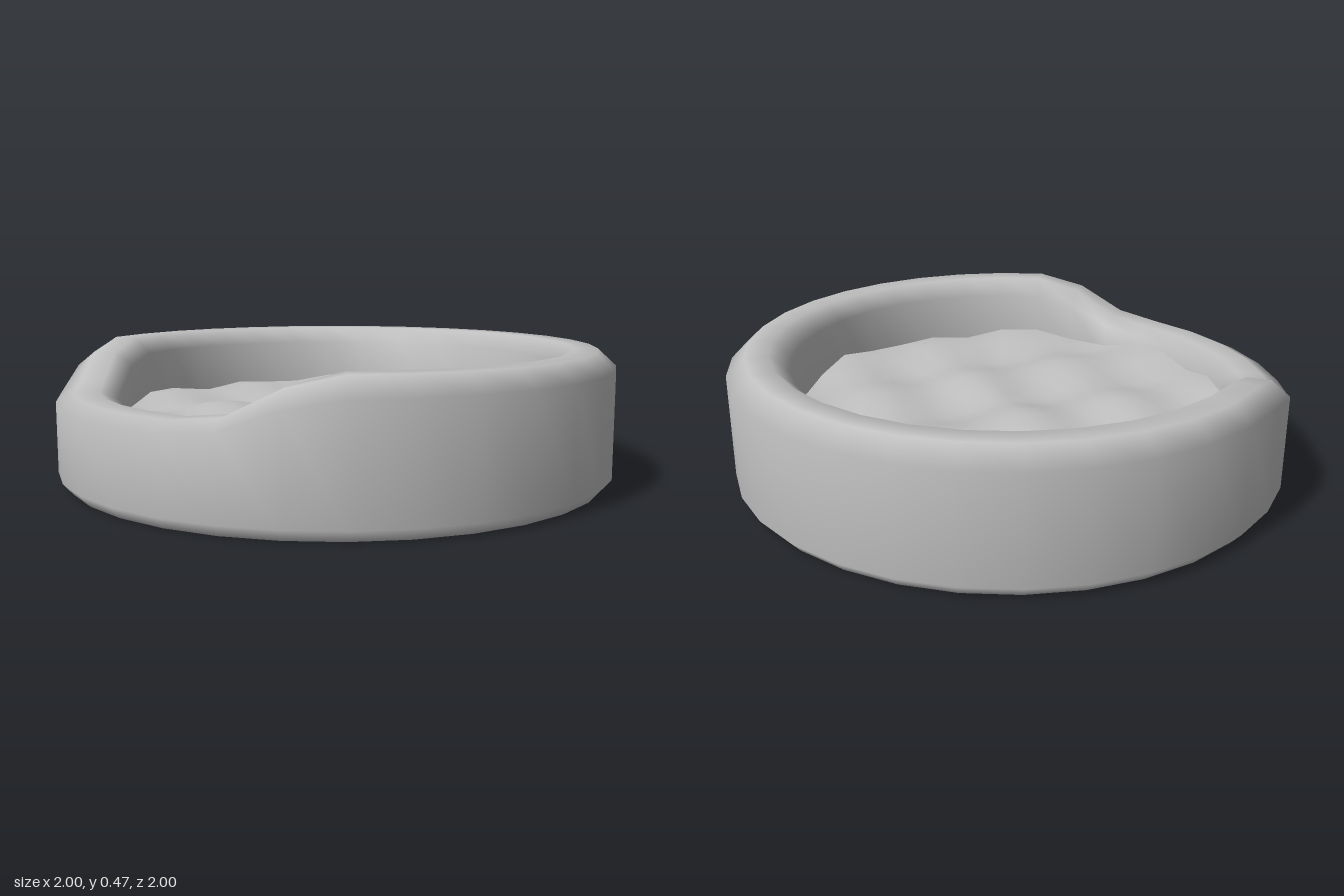
import * as THREE from 'three';
import { mergeVertices } from 'three/addons/utils/BufferGeometryUtils.js';

const SIDES = 32;

// Move every vertex by a rule, then weld seams and smooth the normals
function shape(geometry, rule) {
  geometry.deleteAttribute('uv');
  geometry.deleteAttribute('normal');
  const p = geometry.attributes.position;
  for (let i = 0; i < p.count; i++) {
    p.setY(i, rule(p.getX(i), p.getY(i), p.getZ(i)));
  }
  const welded = mergeVertices(geometry, 1e-4);
  welded.computeVertexNormals();
  return welded;
}

// 0 in the low entrance on the -x side, 1 around the rest of the rim
function rimLift(x, z) {
  const angle = THREE.MathUtils.radToDeg(Math.atan2(Math.abs(z), -x));
  return THREE.MathUtils.smoothstep(angle, 28, 54);
}

export function createModel() {
  const model = new THREE.Group();
  model.name = 'roundPetBed';
  const fabric = new THREE.MeshStandardMaterial({ color: 0xc0c0c0 });
  fabric.name = 'light grey fabric';

  const add = (name, geometry) => {
    const mesh = new THREE.Mesh(geometry, fabric);
    mesh.name = name;
    model.add(mesh);
    return mesh;
  };

  // Padded rim with a lowered entrance
  const profile = [
    [0.965, 0], [1, 0.04], [1, 0.41], [0.935, 0.47],
    [0.85, 0.47], [0.785, 0.41], [0.785, 0.15],
  ].map(([r, y]) => new THREE.Vector2(r, y));
  add('rim', shape(new THREE.LatheGeometry(profile, SIDES), (x, y, z) => {
    const drop = y > 0.44 ? 0.15 : y > 0.3 ? 0.12 : 0;
    return y - drop * (1 - rimLift(x, z));
  }));

  // Quilted cushion with gentle waves
  const disc = new THREE.RingGeometry(0, 0.785, SIDES, 10).rotateX(-Math.PI / 2);
  add('cushion', shape(disc, (x, y, z) =>
    0.235 + 0.018 * Math.cos(14.3 * (z - 0.22)) + 0.012 * Math.cos(16 * (x - 0.04))));

  // Flat underside
  add('base', new THREE.CircleGeometry(0.965, SIDES).rotateX(Math.PI / 2));

  return model;
}
